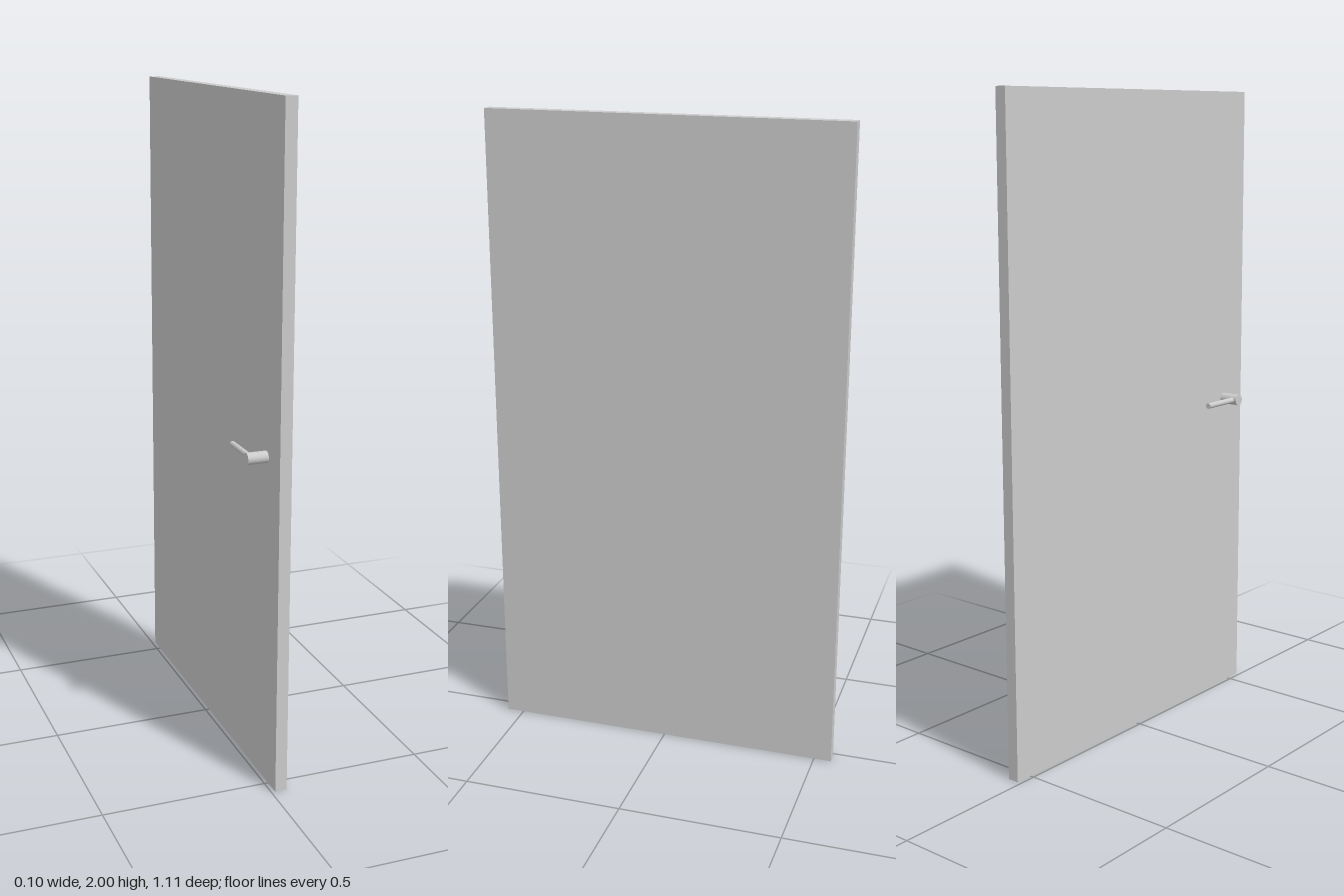
import * as THREE from 'three';

export function createModel() {
  const group = new THREE.Group();
  const material = new THREE.MeshStandardMaterial({ color: 0xcccccc });
  const add = (name, geometry, x, y, z) => {
    const mesh = new THREE.Mesh(geometry, material);
    mesh.name = name;
    mesh.position.set(x, y, z);
    group.add(mesh);
    return mesh;
  };

  // Plain door slab
  add('doorPanel', new THREE.BoxGeometry(0.036, 2, 1.11), 0.03, 1, 0);

  // Round spindle standing out from the door face
  const spindle = add('handleSpindle', new THREE.CylinderGeometry(0.0175, 0.0175, 0.064, 32), -0.018, 1.003, 0.458);
  spindle.rotation.z = Math.PI / 2;

  // Thin lever running back from the spindle, parallel to the door
  const lever = add('handleLever', new THREE.CylinderGeometry(0.009, 0.009, 0.144, 32), -0.033, 1.003, 0.383);
  lever.rotation.x = Math.PI / 2;

  return group;
}
